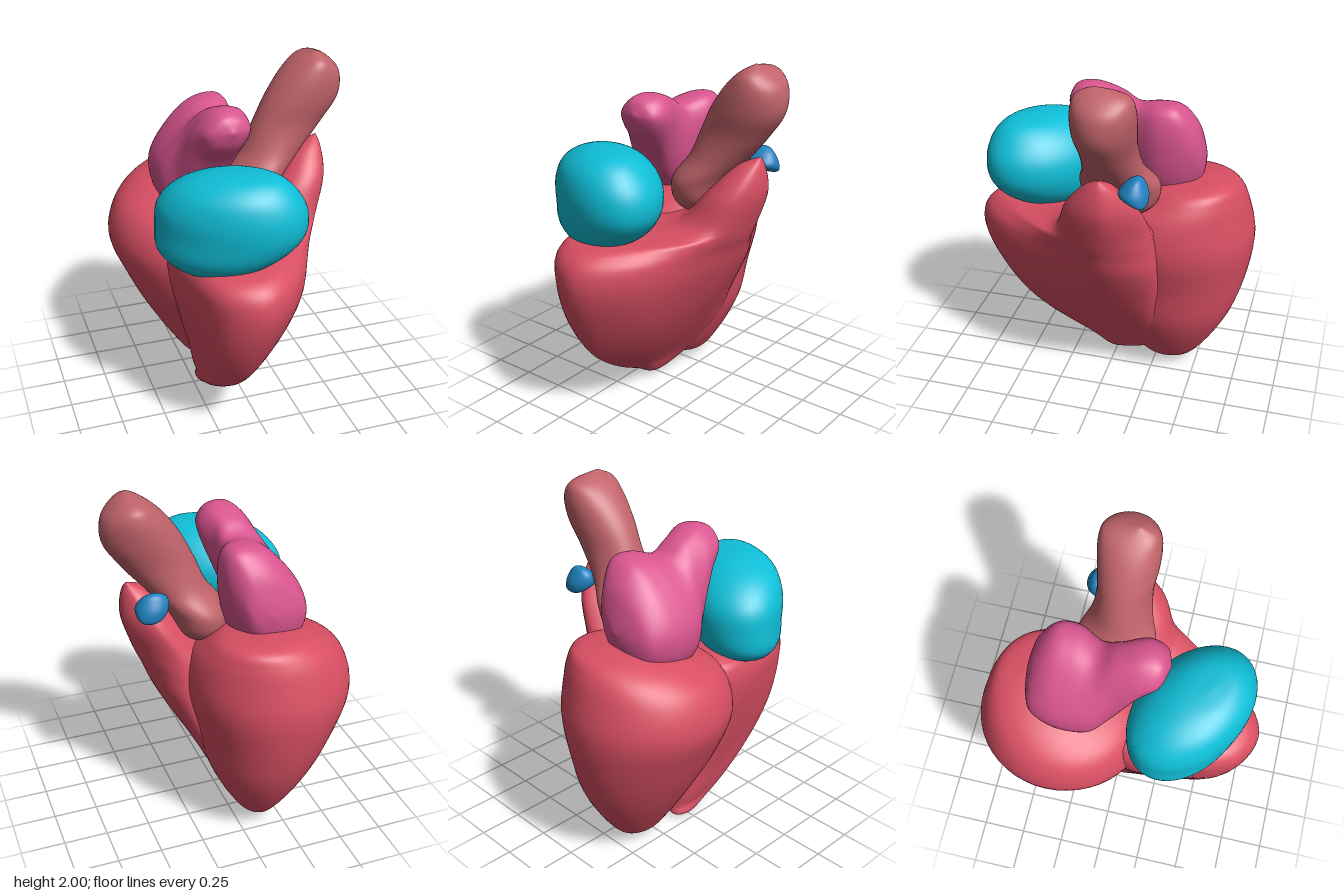
import * as THREE from 'three';
import { mergeVertices } from 'three/addons/utils/BufferGeometryUtils.js';

const SIDES = 48, STEPS = 6;

// Ring from [level, cx, cz, rx, rz]: an ellipse turned by rot
function oval([level, cx, cz, rx, rz], rot = 0) {
  return Array.from({ length: SIDES }, (_, i) => {
    const t = i / SIDES * Math.PI * 2;
    const a = rx * Math.cos(t), b = rz * Math.sin(t);
    return new THREE.Vector3(
      cx + a * Math.cos(rot) - b * Math.sin(rot), level,
      cz + a * Math.sin(rot) + b * Math.cos(rot));
  });
}

// Ring from [level, x, z, x, z, ...]: a smooth closed curve through the points
function outline([level, ...xz]) {
  const pts = [];
  for (let i = 0; i < xz.length; i += 2) pts.push(new THREE.Vector3(xz[i], level, xz[i + 1]));
  const curve = new THREE.CatmullRomCurve3(pts, true);
  return Array.from({ length: SIDES }, (_, i) => curve.getPoint(i / SIDES));
}

// Smooth skin over a stack of rings
function loft(rings) {
  const rows = (rings.length - 1) * STEPS;
  const pos = [], index = [];
  const columns = rings[0].map((_, i) => new THREE.CatmullRomCurve3(rings.map(r => r[i])));
  for (let j = 0; j <= rows; j++) {
    for (const c of columns) pos.push(...c.getPoint(j / rows).toArray());
  }
  for (let j = 0; j < rows; j++) {
    for (let i = 0; i < SIDES; i++) {
      const a = j * SIDES + i, b = j * SIDES + (i + 1) % SIDES;
      index.push(a, a + SIDES, b, b, a + SIDES, b + SIDES);
    }
  }
  const g = new THREE.BufferGeometry();
  g.setAttribute('position', new THREE.Float32BufferAttribute(pos, 3));
  g.setIndex(index);
  const merged = mergeVertices(g, 1e-5);
  merged.computeVertexNormals();
  return merged;
}

export function createModel() {
  const model = new THREE.Group();
  model.name = 'heart';
  const add = (name, color, geometry) => {
    const mesh = new THREE.Mesh(geometry, new THREE.MeshStandardMaterial({ color }));
    mesh.name = name;
    model.add(mesh);
  };
  const RED = 0xd94f63;

  // Rear chamber: rounded cone
  add('leftVentricle', RED, loft([
    [0.035, -0.13, -0.33, 0, 0],
    [0.06, -0.13, -0.33, 0.08, 0.12],
    [0.15, -0.13, -0.33, 0.15, 0.21],
    [0.4, -0.145, -0.335, 0.29, 0.355],
    [0.65, -0.18, -0.32, 0.38, 0.45],
    [0.9, -0.195, -0.32, 0.455, 0.48],
    [1.08, -0.18, -0.335, 0.425, 0.43],
    [1.19, -0.15, -0.41, 0.34, 0.32],
    [1.26, -0.1, -0.47, 0.22, 0.21],
    [1.29, -0.12, -0.53, 0, 0],
  ].map(r => oval(r))));

  // Front chamber: wedge blending into the rear one, rising to a pointed ridge on its left
  const wedge = [
    [0.14, -0.03, -0.08, -0.06, 0.08, -0.1, 0.2, -0.17, 0.28, -0.23, 0.24, -0.25, 0.1, -0.24, -0.02, -0.04, -0.25],
    [0.35, 0.11, -0.1, 0.09, 0.12, 0.02, 0.38, -0.13, 0.56, -0.25, 0.48, -0.29, 0.25, -0.28, 0, 0.1, -0.3],
    [0.6, 0.26, -0.1, 0.23, 0.18, 0.13, 0.51, -0.1, 0.72, -0.27, 0.64, -0.35, 0.33, -0.34, 0.02, 0.18, -0.32],
    [0.85, 0.39, -0.1, 0.34, 0.2, 0.19, 0.59, -0.06, 0.8, -0.27, 0.71, -0.4, 0.35, -0.39, 0.04, 0.26, -0.33],
    [0.98, 0.44, -0.08, 0.38, 0.2, 0.19, 0.59, -0.05, 0.78, -0.27, 0.7, -0.4, 0.35, -0.39, 0.04, 0.27, -0.32],
  ];
  const ridge = [
    [1.05, 0.47, -0.08, 0.42, 0.17, 0.18, 0.53, -0.05, 0.7, -0.24, 0.62, -0.36, 0.33, -0.36, 0.06, 0.28, -0.31],
    [1.11, 0.49, -0.1, 0.45, 0.14, 0.35, 0.23, 0.18, 0.21, 0.1, 0.1, 0.06, 0.02, 0.06, -0.1, 0.29, -0.3],
    [1.3, 0.55, -0.1, 0.5, 0.1, 0.41, 0.14, 0.33, 0.12, 0.28, 0.06, 0.27, -0.03, 0.28, -0.13, 0.4, -0.245],
    [1.44, 0.54, -0.08, 0.52, 0, 0.47, 0.02, 0.43, 0.01, 0.4, -0.03, 0.4, -0.07, 0.42, -0.12, 0.49, -0.14],
  ];
  add('rightVentricle', RED, loft([
    oval([0, -0.19, 0, 0, 0]),
    oval([0.03, -0.17, -0.01, 0.06, 0.09]),
    ...wedge.map(outline),
    ...ridge.map(outline),
    oval([1.5, 0.52, -0.07, 0, 0]),
  ]));

  // Large front chamber, set diagonally
  add('rightAtrium', 0x0fbfd8, loft([
    [0.98, -0.24, 0.4, 0, 0],
    [1.01, -0.24, 0.39, 0.19, 0.14],
    [1.1, -0.2, 0.38, 0.34, 0.24],
    [1.23, -0.15, 0.395, 0.405, 0.275],
    [1.36, -0.14, 0.405, 0.4, 0.275],
    [1.47, -0.13, 0.43, 0.32, 0.225],
    [1.54, -0.1, 0.46, 0.19, 0.13],
    [1.56, -0.1, 0.48, 0, 0],
  ].map(r => oval(r, 0.57))));

  // Two-humped upper chamber, lofted front to back, sloping down to its right
  const humps = [
    [-0.22, 0.02, 1.68, -0.03, 1.75, -0.13, 1.76, -0.2, 1.68, -0.16, 1.61, -0.05, 1.6],
    [-0.12, 0.05, 1.66, 0, 1.77, -0.14, 1.78, -0.25, 1.65, -0.21, 1.5, -0.04, 1.49],
    [0.02, 0.01, 1.58, -0.03, 1.73, -0.17, 1.73, -0.31, 1.5, -0.28, 1.27, -0.08, 1.29],
    [0.12, 0.02, 1.5, -0.02, 1.67, -0.18, 1.67, -0.38, 1.41, -0.34, 1.18, -0.07, 1.2],
    [0.25, 0.07, 1.5, 0.03, 1.7, -0.16, 1.69, -0.4, 1.39, -0.35, 1.16, -0.03, 1.18],
    [0.36, 0.06, 1.5, 0.02, 1.7, -0.16, 1.68, -0.39, 1.38, -0.34, 1.18, -0.04, 1.19],
    [0.45, 0.01, 1.46, -0.03, 1.6, -0.16, 1.59, -0.35, 1.36, -0.3, 1.22, -0.08, 1.22],
    [0.49, -0.04, 1.4, -0.07, 1.48, -0.15, 1.48, -0.26, 1.36, -0.23, 1.28, -0.1, 1.28],
  ];
  add('leftAtrium', 0xd9558f, loft([
    oval([-0.26, -0.08, 1.69, 0, 0]),
    ...humps.map(outline),
    oval([0.51, -0.14, 1.38, 0, 0]),
  ]).rotateX(-Math.PI / 2));

  // Leaning great vessel with a flared root
  add('aorta', 0xc0636a, loft([
    [1.12, 0.12, -0.08, 0, 0],
    [1.14, 0.12, -0.08, 0.09, 0.12],
    [1.21, 0.13, -0.09, 0.15, 0.2],
    [1.32, 0.15, -0.09, 0.165, 0.225],
    [1.45, 0.25, -0.08, 0.17, 0.17],
    [1.6, 0.345, -0.08, 0.2, 0.15],
    [1.75, 0.43, -0.08, 0.21, 0.165],
    [1.88, 0.475, -0.085, 0.16, 0.165],
    [1.95, 0.485, -0.085, 0.09, 0.14],
    [2, 0.49, -0.04, 0, 0],
  ].map(r => oval(r))));

  // Small pad behind the ridge
  add('leftAuricle', 0x1f82bf, loft([
    [1.34, 0.45, -0.29, 0, 0],
    [1.36, 0.445, -0.275, 0.06, 0.035],
    [1.41, 0.43, -0.235, 0.09, 0.08],
    [1.46, 0.42, -0.24, 0.075, 0.055],
    [1.49, 0.42, -0.25, 0.04, 0.025],
    [1.5, 0.42, -0.25, 0, 0],
  ].map(r => oval(r))));

  return model;
}
